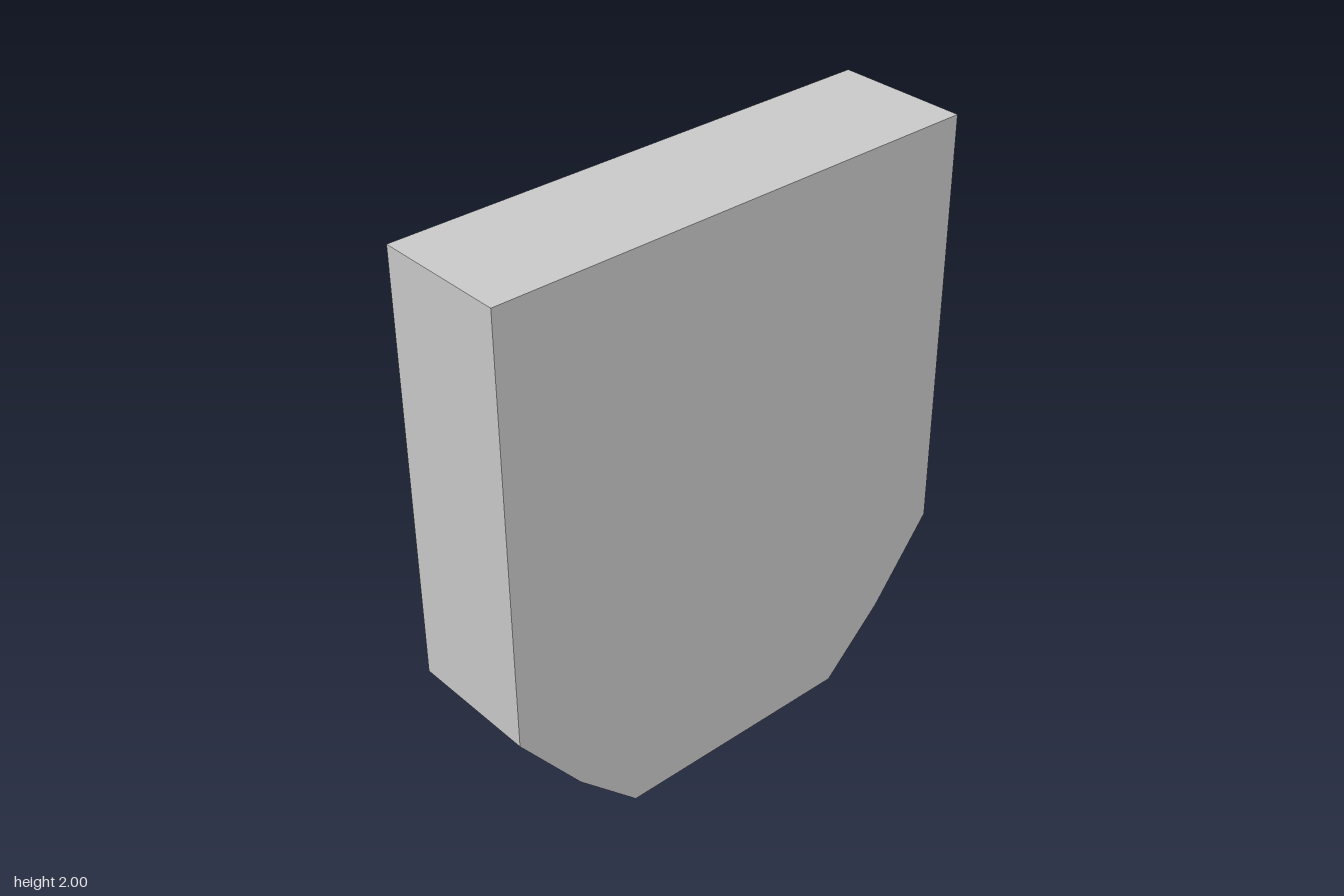
import * as THREE from 'three';

export function createModel() {
  const group = new THREE.Group();
  group.name = 'shieldBlock';

  // Right half of the outline, bottom to top; mirrored for the other half
  const half = [[0.444, 0], [0.665, 0.215], [0.887, 0.5], [0.887, 2]];
  const outline = [...half, ...half.map(([x, y]) => [-x, y]).reverse()];
  const shape = new THREE.Shape(outline.map(([x, y]) => new THREE.Vector2(x, y)));

  // Slab with a flat top and chamfered lower corners
  const depth = 0.464;
  const geometry = new THREE.ExtrudeGeometry(shape, { depth, bevelEnabled: false });
  geometry.translate(0, 0, -depth / 2);

  const slab = new THREE.Mesh(
    geometry,
    new THREE.MeshStandardMaterial({ color: 0xcccccc, flatShading: true })
  );
  slab.name = 'slab';
  group.add(slab);
  return group;
}
